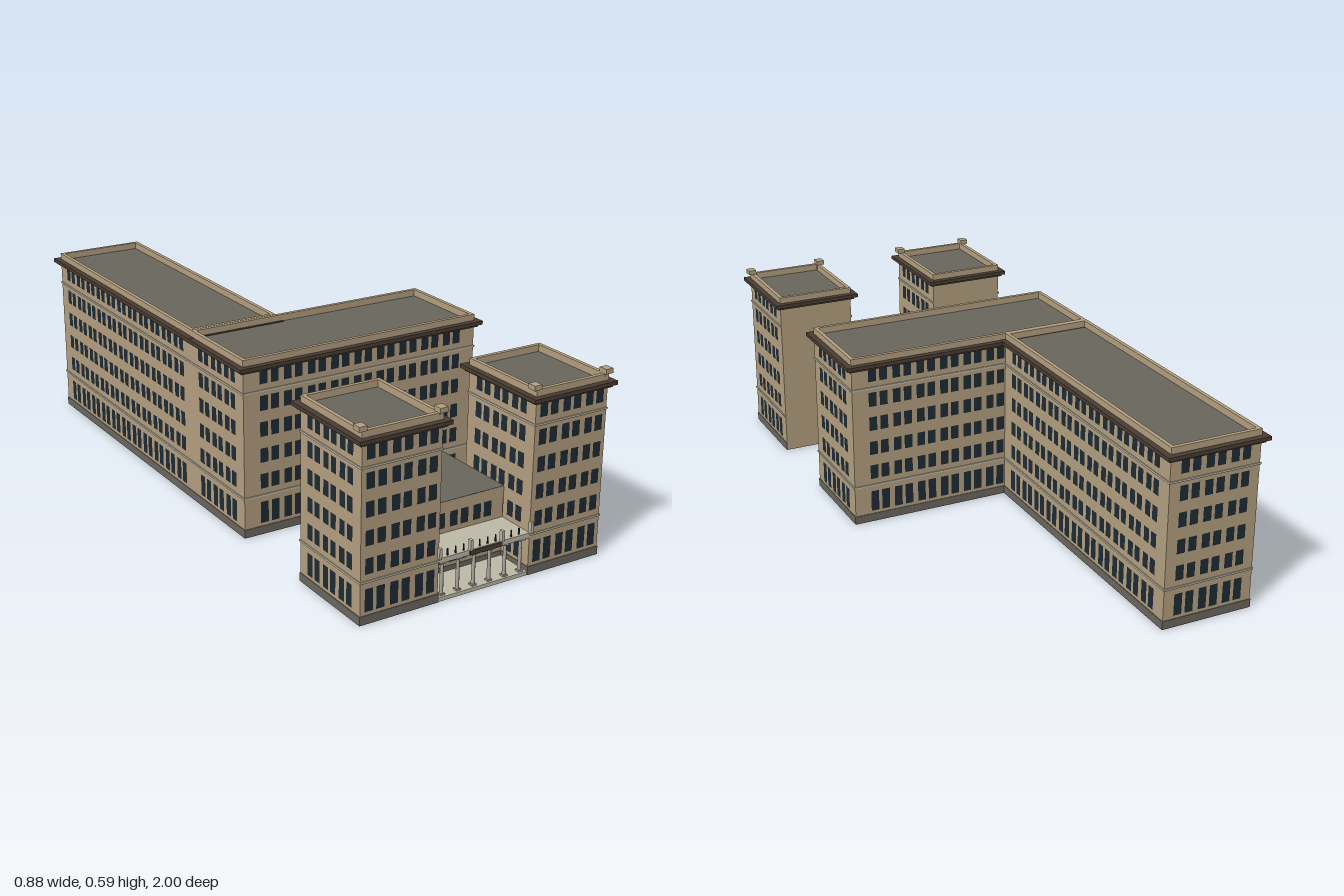
import * as THREE from 'three';
import { mergeGeometries } from 'three/addons/utils/BufferGeometryUtils.js';

const mat = (name, color, side = THREE.FrontSide) => {
  const m = new THREE.MeshStandardMaterial({ color, side });
  m.name = name;
  return m;
};

export function createModel() {
  const tan = mat('tan brick', 0xb5a180, THREE.DoubleSide);
  const grey = mat('roof grey', 0x69665e, THREE.DoubleSide);
  const plinthGrey = mat('plinth grey', 0x6c6860);
  const brown = mat('cornice brown', 0x4a3d33);
  const glass = mat('window glass', 0x1f2b35);
  const pale = mat('pale stone', 0xbfbaa8);
  const stone = mat('column stone', 0xaaa79d);
  const black = mat('railing black', 0x23221f);

  const model = new THREE.Group();
  model.name = 'building';
  const ROWS = [[0.038, 0.108], [0.152, 0.2], [0.237, 0.283], [0.321, 0.368], [0.404, 0.452], [0.489, 0.533]];
  const PITCH = 0.083;

  const add = (parent, name, geo, material) => {
    const mesh = new THREE.Mesh(geo, material);
    mesh.name = name;
    parent.add(mesh);
    return mesh;
  };
  // box given by its limits
  const box = (x0, x1, y0, y1, z0, z1) =>
    new THREE.BoxGeometry(x1 - x0, y1 - y0, z1 - z0).translate((x0 + x1) / 2, (y0 + y1) / 2, (z0 + z1) / 2);

  // horizontal rectangular ring between an outer and an inner offset from the wall line
  const ring = (b, outer, inner, y, h) => {
    const rect = (o, Type) => {
      const p = new Type();
      p.moveTo(b.x0 - o, -b.z1 - o);
      p.lineTo(b.x1 + o, -b.z1 - o);
      p.lineTo(b.x1 + o, -b.z0 + o);
      p.lineTo(b.x0 - o, -b.z0 + o);
      p.closePath();
      return p;
    };
    const shape = rect(outer, THREE.Shape);
    shape.holes.push(rect(inner, THREE.Path));
    return new THREE.ExtrudeGeometry(shape, { depth: h, bevelEnabled: false }).rotateX(-Math.PI / 2).translate(0, y, 0);
  };

  // walls without floor or lid
  const shell = (b, h) => {
    const w = b.x1 - b.x0, d = b.z1 - b.z0, parts = [];
    for (let i = 0; i < 4; i++) {
      const len = i % 2 ? d : w, off = (i % 2 ? w : d) / 2;
      parts.push(new THREE.PlaneGeometry(len, h).translate(0, h / 2, off).rotateY(i * Math.PI / 2));
    }
    return mergeGeometries(parts).translate((b.x0 + b.x1) / 2, 0, (b.z0 + b.z1) / 2);
  };

  const roofPlane = (b, y) => new THREE.PlaneGeometry(b.x1 - b.x0, b.z1 - b.z0)
    .rotateX(-Math.PI / 2).translate((b.x0 + b.x1) / 2, y, (b.z0 + b.z1) / 2);

  // window pairs, plinth and string courses on one side; side 0 front, 1 left (+x), 2 back, 3 right
  const facade = (group, b, side, pairs, rows, bands) => {
    const w = b.x1 - b.x0, d = b.z1 - b.z0;
    const len = side % 2 ? d : w, off = (side % 2 ? w : d) / 2;
    const f = new THREE.Group();
    f.name = 'facade';
    f.position.set((b.x0 + b.x1) / 2, 0, (b.z0 + b.z1) / 2);
    f.rotation.y = side * Math.PI / 2;
    group.add(f);
    const panes = [];
    for (const [y0, y1] of rows)
      for (let i = 0; i < pairs; i++)
        for (const s of [-1, 1])
          panes.push(new THREE.PlaneGeometry(0.027, y1 - y0)
            .translate((i - (pairs - 1) / 2) * PITCH + s * 0.019, (y0 + y1) / 2, off + 0.0015));
    add(f, 'windows', mergeGeometries(panes), glass);
    add(f, 'plinth', box(-len / 2 - 0.002, len / 2 + 0.002, 0, 0.027, off, off + 0.002), plinthGrey);
    for (const y of bands)
      add(f, 'stringCourse', box(-len / 2 - 0.003, len / 2 + 0.003, y, y + 0.006, off, off + 0.003), pale);
  };

  // full-height block with cornice, parapet and sunken roof
  const block = (name, b, sides, lift = 0) => {
    const g = new THREE.Group();
    g.name = name;
    model.add(g);
    add(g, 'walls', shell(b, 0.573), tan);
    add(g, 'roof', roofPlane(b, 0.552 + lift), grey);
    add(g, 'lowerCornice', ring(b, 0.01, 0, 0.533 + lift, 0.008), brown);
    add(g, 'upperCornice', ring(b, 0.02, 0, 0.541 + lift, 0.012), brown);
    add(g, 'parapet', ring(b, 0.0005, -0.012, 0.552 + lift, 0.0215), tan);
    for (const [side, pairs] of sides) facade(g, b, side, pairs, ROWS, [0.126, 0.464]);
    return g;
  };

  block('mainBlock', { x0: -0.42, x1: 0.42, z0: 0.02, z1: 0.345 }, [[0, 9], [1, 3], [2, 9], [3, 3]]);
  block('rearWing', { x0: -0.42, x1: -0.12, z0: -0.98, z1: 0.02 }, [[0, 3], [1, 11], [2, 3], [3, 11]], 0.001);

  // front towers with blank backs and corner blocks on the parapet
  for (const s of [-1, 1]) {
    const b = s > 0 ? { x0: 0.16, x1: 0.42, z0: 0.67, z1: 0.98 } : { x0: -0.42, x1: -0.16, z0: 0.67, z1: 0.98 };
    const t = block(s > 0 ? 'leftTower' : 'rightTower', b, [[0, 3], [1, 3], [3, 3]]);
    for (const x of [0.161, 0.42]) {
      add(t, 'cornerBlock', box(s * x - 0.013, s * x + 0.013, 0.573, 0.588, 0.955, 0.985), tan);
      const px = x > 0.3 ? 0.414 : 0.166;
      add(t, 'cornerPier', box(s * px - 0.007, s * px + 0.007, 0.553, 0.574, 0.96, 0.981), tan);
    }
  }

  // low entrance hall
  const hall = new THREE.Group();
  hall.name = 'entranceHall';
  model.add(hall);
  const hb = { x0: -0.16, x1: 0.16, z0: 0.345, z1: 0.855 };
  add(hall, 'walls', shell(hb, 0.235), tan);
  add(hall, 'roof', roofPlane(hb, 0.2352), grey);
  for (const side of [0, 2]) facade(hall, hb, side, 3, ROWS.slice(0, 2), [0.126]);

  // colonnaded portico
  const portico = new THREE.Group();
  portico.name = 'portico';
  model.add(portico);
  add(portico, 'floor', box(-0.158, 0.158, 0, 0.012, 0.855, 0.98), pale);
  add(portico, 'canopy', box(-0.159, 0.159, 0.12, 0.136, 0.855, 0.982), pale);
  add(portico, 'signPanel', box(-0.055, 0.058, 0.121, 0.134, 0.982, 0.986), brown);
  for (let i = 0; i < 6; i++) {
    const x = -0.137 + i * 0.0555;
    add(portico, 'column', new THREE.CylinderGeometry(0.005, 0.006, 0.1, 12).translate(x, 0.062, 0.965), stone);
    add(portico, 'columnBase', box(x - 0.008, x + 0.008, 0.012, 0.017, 0.957, 0.973), stone);
    add(portico, 'capital', box(x - 0.01, x + 0.01, 0.112, 0.12, 0.955, 0.975), pale);
  }
  for (const x of [-0.16, -0.053, 0.058, 0.162])
    add(portico, 'pedestal', box(x - 0.0045, x + 0.0045, 0.136, 0.17, 0.977, 0.99), pale);
  for (let i = 0; i < 10; i++) {
    const x = -0.126 + i * 0.028;
    add(portico, 'railingPost', box(x - 0.0015, x + 0.0015, 0.136, 0.157, 0.972, 0.976), black);
  }

  return model;
}
